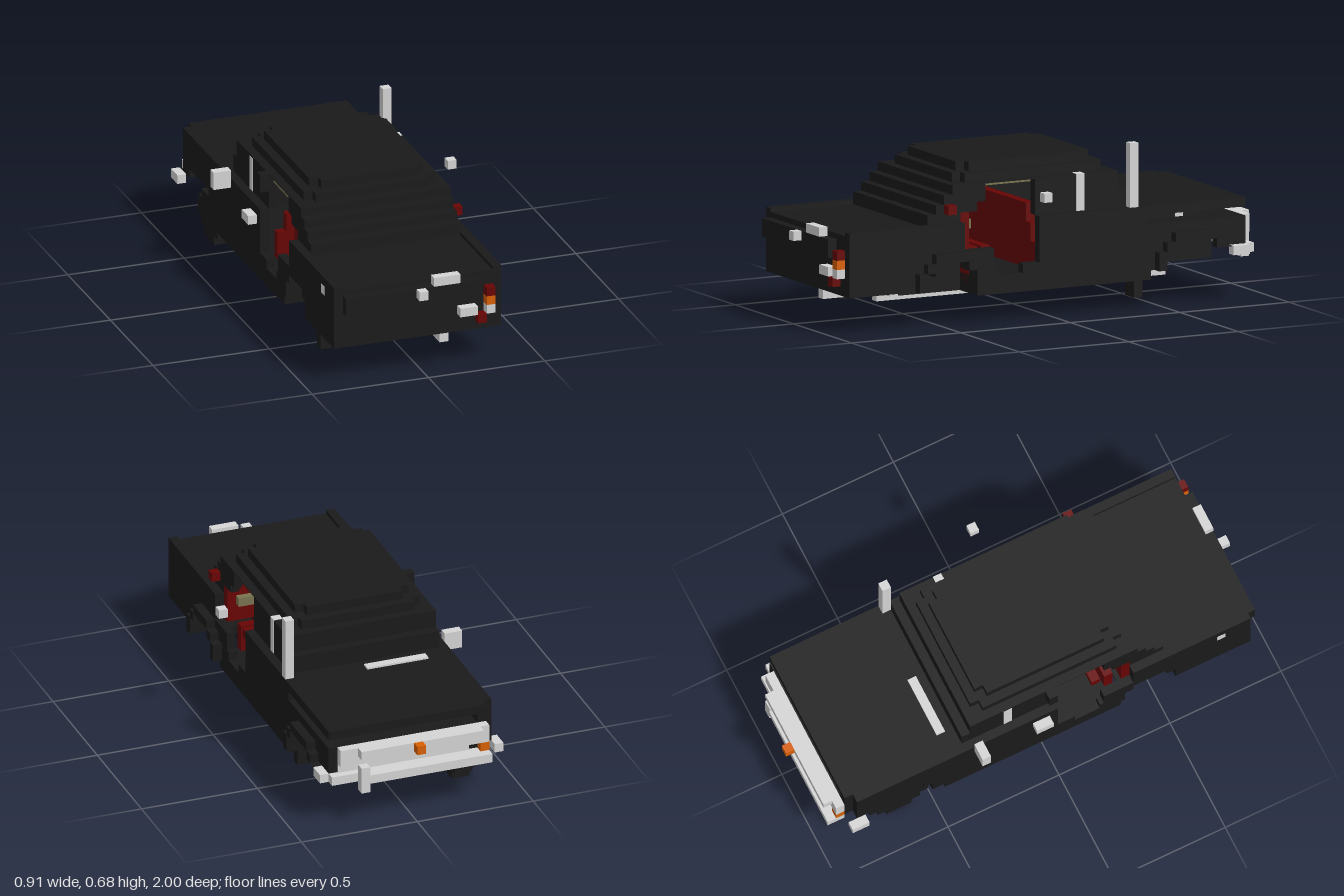
import * as THREE from 'three';

const V = 2 / 53; // one block
const mat = (name, color) => {
  const m = new THREE.MeshStandardMaterial({ color });
  m.name = name;
  return m;
};

export function createModel() {
  const car = new THREE.Group();
  car.name = 'blockCar';
  const black = mat('blackPaint', 0x1a1a1a);
  const silver = mat('silver', 0xd5d5d5);
  const red = mat('darkRed', 0x680404);
  const orange = mat('orange', 0xd86004);
  const beige = mat('beige', 0x7a7350);

  // Box between block coordinates
  function block(name, m, x0, x1, y0, y1, z0, z1, parent = car) {
    const mesh = new THREE.Mesh(new THREE.BoxGeometry((x1 - x0) * V, (y1 - y0) * V, (z1 - z0) * V), m);
    mesh.position.set((x0 + x1) / 2 * V, (y0 + y1) / 2 * V, (z0 + z1) / 2 * V);
    mesh.name = name;
    parent.add(mesh);
  }

  // One wall, broken by openings listed from back to front
  function wall(name, x, y0, y1, z0, z1, holes, parent = car) {
    let start = z0;
    for (const [a, b] of [...holes, [z1, z1]]) {
      if (a > start) block(name, black, x, x + 1, y0, y1, start, a, parent);
      start = b;
    }
  }
  function sides(name, x0, x1, y0, y1, z0, z1, holes) {
    const g = new THREE.Group();
    g.name = name;
    wall('rightWall', x0, y0, y1, z0, z1, holes, g);
    wall('leftWall', x1 - 1, y0, y1, z0, z1, holes, g);
    car.add(g);
  }

  // Floor and closed ends
  block('floor', black, -10, 9, 3, 4, -12, 9);
  block('floorCentre', black, -6, 5, 3, 4, -13.5, 16.5);
  block('floorPan', black, -9, 8, 4, 5, -12.5, 9);
  block('frontFloor', black, -9, 8, 4, 5, 16.5, 24.5);
  block('backWheelWells', black, -6, 5, 4, 8, -21.5, -12.5);
  block('frontWheelWells', black, -6, 5, 4, 8, 9, 16.5);
  block('backArchRoof', black, -9.9, 8.9, 7.8, 8.2, -22.5, -12.5);
  block('frontArchRoof', black, -9.9, 8.9, 7.2, 7.6, 9, 16.5);
  block('noseFace', black, -9, 9, 6, 9, -23.5, -22.5);
  block('noseShelf', black, -9, 8, 8.2, 9, -22.5, -9.5);
  block('noseInner', black, -9, 6, 9, 10, -19.5, -9.5);
  block('noseUpright', black, -9, -8, 9, 10, -23.5, -19.5);
  block('frontFace', black, -9, 8, 4, 10, 23.5, 24.5);

  // Flanks with wheel arches and door openings
  const flanks = [
    [4, 5, [[-22.5, -13.5], [9.5, 15.5]]],
    [5, 6, [[-22.5, -13.5], [3.5, 6.5], [9.5, 15.5]]],
    [6, 7, [[-20.5, -14.5], [1.5, 7], [10.5, 14.5]]],
    [7, 8, [[1.5, 7]]],
    [8, 9, [[1.5, 10.5]]],
    [10, 11, [[1.5, 10.5]]],
  ];
  for (const [y0, y1, holes] of flanks) sides('flank', -10, 9, y0, y1, -22.5, 24.5, holes);
  wall('rightBelt', -10, 9, 10, -22.5, 24.5, [[1.5, 10.5]]);
  wall('leftBelt', 8, 9, 10, -11.5, 24.5, [[1.5, 10.5]]);
  block('noseCorner', black, 8, 9, 10, 11, -23.5, -22.5);

  // Lids over both ends
  block('hood', black, -9, 8, 10, 11, -23.5, -8.5);
  block('frontDeck', black, -9, 8, 10, 10.6, 14.5, 24.5);
  block('cowl', black, -9, 8, 10, 11, 11, 14.5);
  block('frontLip', black, -9, 6, 8, 10, 24.5, 25.5);

  // Stepped cabin
  const doorFront = [10.5, 8.5, 7.5, 7.5];
  doorFront.forEach((front, i) => {
    const z0 = i < 2 ? -9.5 : -8.5, z1 = 14.5 - i;
    sides('cabinSide', -9, 8, 11 + i, 12 + i, z0, z1, [[1.5, front]]);
    block('cabinFront', black, -8, 7, 11 + i, 12 + i, z1 - 2, z1);
    block('cabinBack', black, -8, 7, 11 + i, 12 + i, z0, z0 + 2);
  });
  block('roofEdge', black, -9, 8, 14.9, 15, -8.5, 11.5);

  // Roof slabs with notched corners
  for (const [x0, x1, y, z0, z1] of [[-8, 7, 15, -7.5, 10.5], [-7, 6, 16, -6.5, 9.5]]) {
    block('roofSlab', black, x0 + 1, x1 - 1, y, y + 1, z0, z1);
    for (const x of [x0, x1 - 1]) block('roofSide', black, x, x + 1, y, y + 1, z0 + 1, z1 - 1);
  }
  block('doorFragment', black, -10, -9, 13, 15, 0.5, 1.5);

  // Arch flares on the left side
  for (const [z0, z1] of [[8.5, 16.5], [-21.5, -12.5]]) {
    block('flareTop', black, 9, 10, 7, 8, z0 + 2, z1 - 2);
    for (const s of [0, 1]) {
      const edge = s ? z1 - 1 : z0;
      const step = s ? z1 - 2 : z0 + 1;
      block('flareFoot', black, 9, 10, s || z0 > 0 ? 4 : 6, 6, edge, edge + 1);
      block('flareStep', black, 9, 10, 6, 7, step, step + 1);
    }
  }

  // Remaining wheel, mud flaps and axle
  [[0, -18.5, -15.5], [1, -19.5, -14.5], [2, -20.5, -13.5], [3, -20.5, -13.5], [4, -19.5, -14.5]]
    .forEach(([y, z0, z1]) => block('wheel', black, -9, -7, y, y + 1, z0, z1));
  block('frontFlap', black, -9, -6, 1, 5, 16.5, 17.5);
  block('backFlap', black, 6, 8, 1, 4, -11.5, -10.5);
  block('frontAxle', black, -8, 7, 5, 6, 12, 13);

  // Underside
  block('transmission', black, -3, 1, 2, 3, -10.5, 10.5);
  block('exhaustPipe', silver, 1, 2, 2, 3, -17.5, 17.5);
  block('muffler', silver, 2, 4, 2, 3, -2.5, 4.5);
  block('tailPipe', silver, 2, 3, 3, 4, 16.5, 24.5);
  block('tailPipeTip', silver, 2, 5, 3, 4, 16.5, 17.5);

  // Interior
  block('seatBase', red, -8, 8, 4, 8, 0.5, 1.5);
  block('seatBack', red, -7, 7, 8, 10, 0.5, 1.5);
  block('seatTop', red, -6, 6, 10, 12, 0.5, 1.5);
  block('bulkhead', red, -9, 8, 8, 12, 9.5, 10.5);
  block('bulkheadLower', red, -8, 7, 4, 8, 8, 9);
  block('seatCushion', red, -8, 7, 7, 8, 6.5, 7.5);
  block('shelf', beige, -8, 7, 10, 11, 8.7, 9.5);
  block('roofTrim', beige, -8, 7, 14.5, 14.9, 1.5, 7.5);
  block('roofTrimRail', beige, -8.5, -7.5, 14, 14.9, 1.5, 7.5);

  // Grille, bumper and lamps at the back end
  block('grille', silver, -9, 8, 7, 9, -24.5, -23.5);
  block('grilleInset', silver, -7, 8, 6, 7, -23.7, -23.5);
  block('grilleBar', silver, -8, 6, 8, 9, -25.5, -24.5);
  block('bumper', silver, -9, 6, 5, 6, -25.5, -24.5);
  block('bumperInner', silver, -9, 9, 5, 6, -24.5, -23.5);
  for (const x of [-11, 9]) block('bumperEnd', silver, x, x + 1, 5, 6, -23.5, -21.5);
  block('bumperGuard', silver, 5, 6, 4, 7, -25.5, -24.5);
  block('grilleLamp', orange, -1, 0, 8, 9, -26.5, -25.5);
  block('cornerLamp', orange, -9, -8, 6, 7, -24.5, -23.5);

  // Lamps and plates on the front end
  block('upperLamp', red, 7, 8, 8, 9, 24.5, 25.5);
  block('signalLamp', orange, 7, 8, 7, 8, 24.5, 25.5);
  block('clearLamp', silver, 7, 8, 6, 7, 24.5, 25.5);
  block('lowerLamp', red, 6, 7, 5, 6, 24.5, 25.5);
  block('bumperScrap', silver, 4, 6, 6, 7, 24.5, 25.5);
  block('frontPlate', silver, 1, 4, 10, 11, 24.5, 25.5);
  block('lock', silver, -1, 0, 9, 10, 25.5, 26.5);

  // Antenna, mirrors, handles and trim
  block('antenna', silver, 8, 9, 11, 18, -10.5, -9.5);
  block('rightMirror', silver, -12, -10, 10, 12, -8.5, -7.5);
  block('doorHandle', silver, -11, -10, 9, 10, -1.5, 0.5);
  block('looseMirror', silver, 11, 12, 13, 14, 1.5, 2.5);
  block('redMirror', red, 8, 9, 12, 13, 11.5, 12.5);
  block('wiper', silver, -7, 0, 10.5, 11.2, -11.5, -10.5);
  block('leftPillarTrim', silver, 7, 8.04, 11, 15.04, -4.5, -3.5);
  block('rightPillarTrim', silver, -9.04, -8, 11, 14.8, -4.5, -3.5);
  block('leftSideLamp', silver, 5.5, 6.04, 9, 10, -17.5, -16.5);
  block('rightSideLamp', silver, -10.04, -9.5, 9, 10, 20.5, 21.5);

  return car;
}
